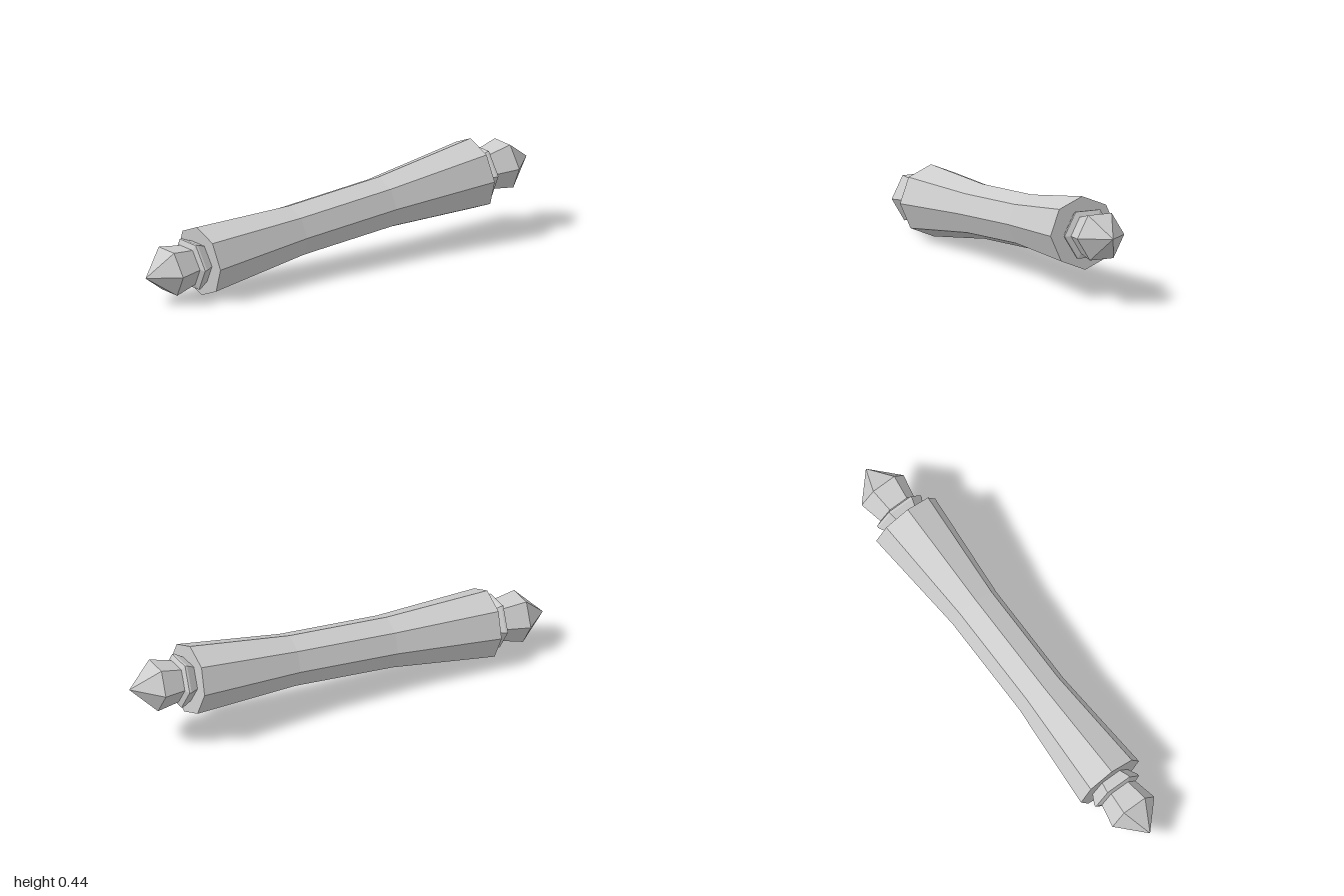
import * as THREE from 'three';

export function createModel() {
  const model = new THREE.Group();
  model.name = 'rollingPin';
  const grey = new THREE.MeshStandardMaterial({ color: 0xcccccc, flatShading: true });
  grey.name = 'light grey';

  // Faceted turned part; profile is [radius, distance along the axis]
  const turned = (name, profile, sides) => {
    const points = profile.map(([r, s]) => new THREE.Vector2(r, s));
    const mesh = new THREE.Mesh(new THREE.LatheGeometry(points, sides), grey);
    mesh.name = name;
    return mesh;
  };

  // Tilted axis shared by all the parts
  const pin = new THREE.Group();
  pin.name = 'tiltedPin';
  pin.rotation.z = -Math.PI / 2 + 0.086;
  pin.position.y = 0.22;
  model.add(pin);

  // Eight-sided roller with a narrow waist
  pin.add(turned('roller', [
    [0, -0.72], [0.155, -0.72], [0.118, -0.236],
    [0.118, 0.236], [0.158, 0.722], [0, 0.722],
  ], 8));

  // Six-sided collar and pointed handle at each end
  for (const side of [1, -1]) {
    const end = new THREE.Group();
    end.name = side > 0 ? 'leftEnd' : 'rightEnd';
    end.add(turned('collar', [
      [0, 0.71], [0.088, 0.71], [0.116, 0.762], [0.116, 0.772], [0.088, 0.782], [0, 0.782],
    ], 6));
    end.add(turned('handle', [
      [0, 0.77], [0.09, 0.78], [0.112, 0.885], [0, 1.003],
    ], 6));
    if (side < 0) end.rotation.z = Math.PI;
    pin.add(end);
  }
  return model;
}
